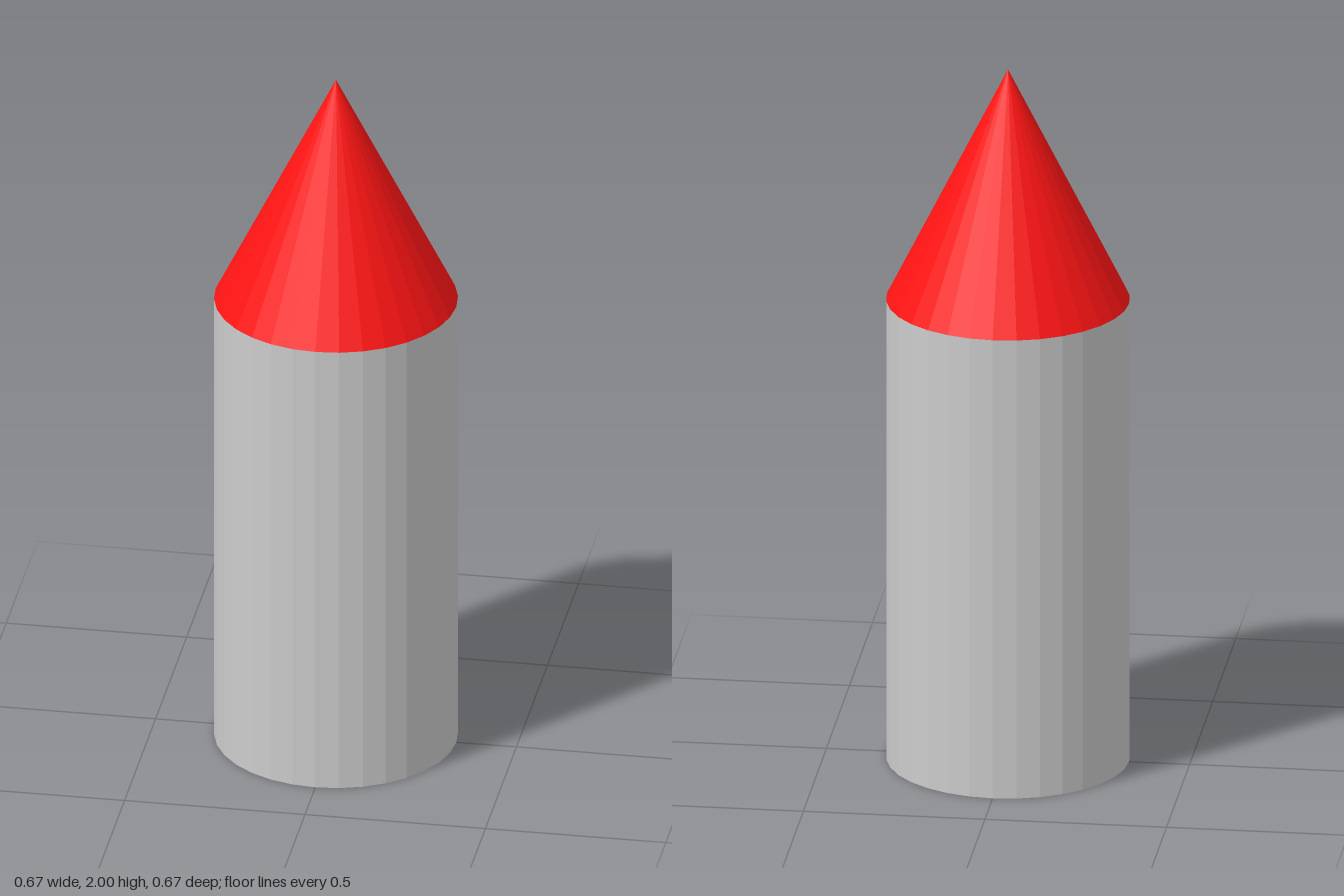
import * as THREE from 'three';

const RADIUS = 1 / 3;
const BODY_HEIGHT = 4 / 3;
const TIP_HEIGHT = 2 / 3;
const SIDES = 32;

function addPart(group, name, geometry, color, y) {
  const material = new THREE.MeshStandardMaterial({ color, flatShading: true });
  const mesh = new THREE.Mesh(geometry, material);
  mesh.name = name;
  mesh.position.y = y;
  group.add(mesh);
}

export function createModel() {
  const group = new THREE.Group();
  group.name = 'pointedCylinder';

  // Straight faceted body standing on the ground
  addPart(group, 'body',
    new THREE.CylinderGeometry(RADIUS, RADIUS, BODY_HEIGHT, SIDES),
    0xcccccc, BODY_HEIGHT / 2);

  // Red cone on top, flush with the body; open below, where the body closes it
  addPart(group, 'coneTip',
    new THREE.ConeGeometry(RADIUS, TIP_HEIGHT, SIDES, 1, true),
    0xff1414, BODY_HEIGHT + TIP_HEIGHT / 2);

  return group;
}
